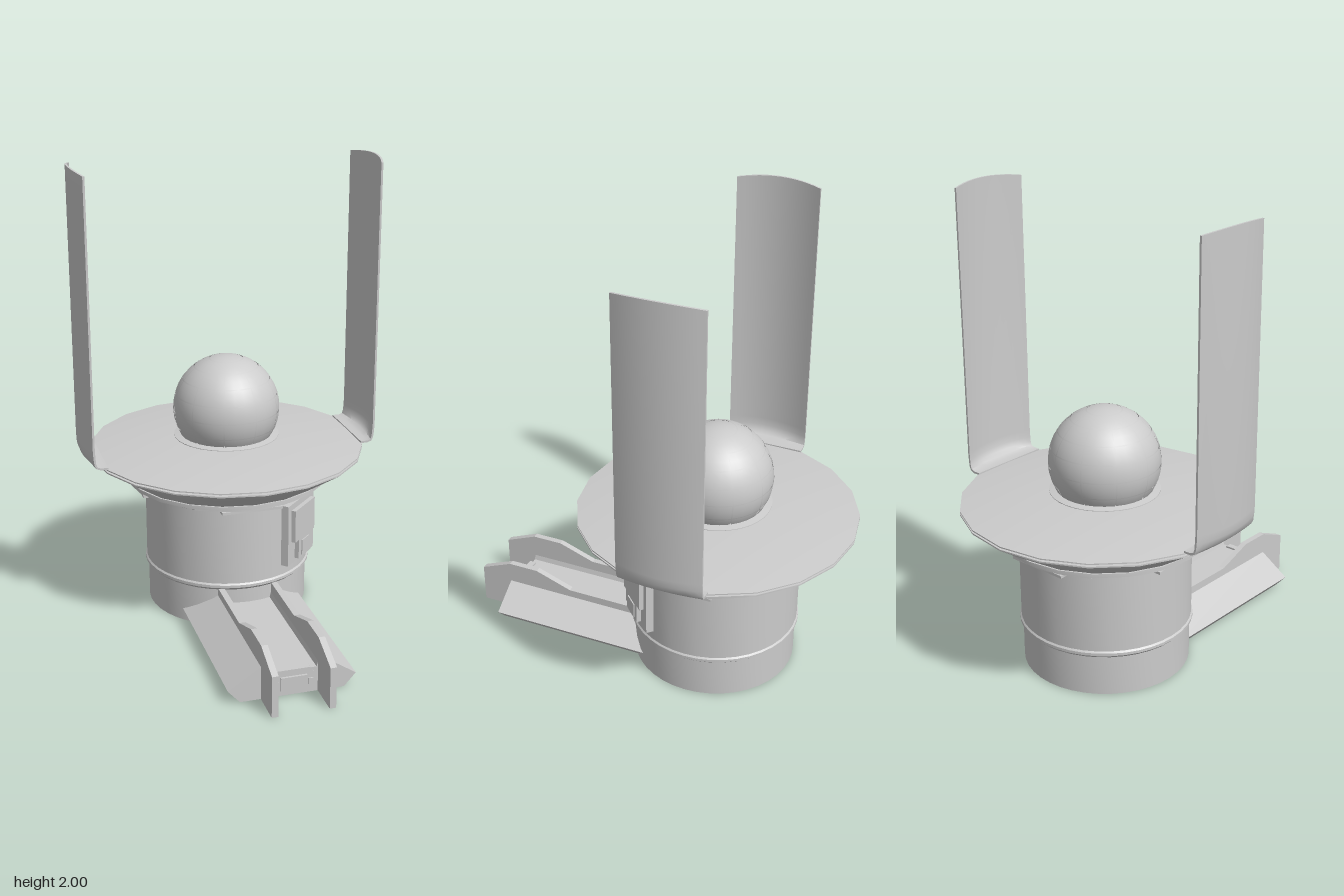
import * as THREE from 'three';
import { toCreasedNormals } from 'three/addons/utils/BufferGeometryUtils.js';

const MAT = new THREE.MeshStandardMaterial({ color: 0xcccccc, side: THREE.DoubleSide });
const AXIS_Z = -0.255; // the turret axis lies behind the centre

function add(parent, name, geometry, x = 0, y = 0, z = 0) {
  const mesh = new THREE.Mesh(geometry, MAT);
  mesh.name = name;
  mesh.position.set(x, y, z);
  parent.add(mesh);
  return mesh;
}

const box = (w, h, d) => new THREE.BoxGeometry(w, h, d);

// Revolved profile of [radius, y] points, with sharp edges kept
function lathe(points, segments, start = 0, length = Math.PI * 2) {
  const profile = points.map(([r, y]) => new THREE.Vector2(r, y));
  return toCreasedNormals(new THREE.LatheGeometry(profile, segments, start, length), 0.5);
}

function extrude(points, depth) {
  const shape = new THREE.Shape(points.map(([x, y]) => new THREE.Vector2(x, y)));
  return new THREE.ExtrudeGeometry(shape, { depth, bevelEnabled: false });
}

// Upright bowed blade: closed cross-sections swept along a bent profile
function bladeGeometry(side) {
  const profile = [[0.575, 0.732, 0], [0.61, 0.732, 0.1], [0.64, 0.739, 0.45], [0.66, 0.757, 0.8],
    [0.67, 0.785, 1], [0.672, 0.82, 1], [0.672, 1.99, 1]];
  const n = 12, ring = 2 * (n + 1), pos = [], idx = [];
  profile.forEach(([px, py, bow], row) => {
    const last = row === profile.length - 1;
    const a = profile[Math.max(row - 1, 0)], b = profile[Math.min(row + 1, profile.length - 1)];
    const len = Math.hypot(b[0] - a[0], b[1] - a[1]);
    const nx = -(b[1] - a[1]) / len, ny = (b[0] - a[0]) / len;
    for (let k = 0; k < ring; k++) {
      const inner = k > n;
      const t = ((inner ? ring - 1 - k : k) / n) * 2 - 1;
      const th = inner ? 0.009 : 0;
      const y = py + ny * th + (last ? 0.01 - 0.015 * t * t : 0);
      pos.push(side * (px + nx * th - 0.033 * bow * t * t), y, t * 0.185);
    }
  });
  const quad = (a, b, c, d) => (side > 0 ? idx.push(a, c, b, a, d, c) : idx.push(a, b, c, a, c, d));
  for (let r = 0; r < profile.length - 1; r++) {
    for (let k = 0; k < ring; k++) {
      const k2 = (k + 1) % ring;
      quad(r * ring + k, r * ring + k2, (r + 1) * ring + k2, (r + 1) * ring + k);
    }
  }
  const top = (profile.length - 1) * ring;
  for (let k = 0; k < n; k++) {
    quad(top + k, top + k + 1, top + ring - 2 - k, top + ring - 1 - k);
    quad(k + 1, k, ring - 1 - k, ring - 2 - k);
  }
  const g = new THREE.BufferGeometry();
  g.setAttribute('position', new THREE.Float32BufferAttribute(pos, 3));
  g.setIndex(idx);
  return toCreasedNormals(g, 0.6);
}

function buildTurret() {
  const turret = new THREE.Group();
  turret.name = 'turret';
  turret.position.z = AXIS_Z;

  // Drum, with a socket underneath
  add(turret, 'base', lathe([[0, 0.02], [0.04, 0.02], [0.06, 0.05], [0.1, 0.05], [0.13, 0],
    [0.36, 0], [0.36, 0.18], [0.3, 0.18]], 40));
  add(turret, 'drum', lathe([[0.3, 0.175], [0.36, 0.175], [0.374, 0.188], [0.374, 0.2], [0.368, 0.207],
    [0.368, 0.548], [0.373, 0.553], [0.373, 0.562], [0.362, 0.572], [0, 0.572]], 40));
  add(turret, 'neck', new THREE.CylinderGeometry(0.26, 0.26, 0.17, 32), 0, 0.65, 0);

  // Segmented bearing plates under the dish
  for (let i = 0; i < 4; i++) {
    const mid = i * Math.PI / 2;
    add(turret, 'bearingPlate', lathe([[0.3, 0.572], [0.425, 0.572], [0.425, 0.586], [0.3, 0.586],
      [0.3, 0.572]], 8, mid - 0.6, 1.2));
    const clip = add(turret, 'bearingClip', box(0.27, 0.012, 0.07),
      Math.sin(mid) * 0.38, 0.567, Math.cos(mid) * 0.38);
    clip.rotation.y = mid;
  }
  add(turret, 'dishRim', lathe([[0.38, 0.59], [0.455, 0.59], [0.455, 0.607], [0.38, 0.607]], 20));

  // Faceted dish and its shallow conical lid
  add(turret, 'dish', lathe([[0, 0.592], [0.38, 0.592], [0.44, 0.602], [0.61, 0.714], [0.61, 0.72],
    [0.25, 0.716]], 20));
  add(turret, 'dishLid', lathe([[0.25, 0.724], [0.61, 0.728], [0.61, 0.733], [0, 0.802]], 20));

  // Ball made of panels over a slightly smaller core
  add(turret, 'ballCollar', lathe([[0.235, 0.765], [0.235, 0.778], [0.2, 0.784]], 32));
  add(turret, 'ballCore', new THREE.SphereGeometry(0.231, 20, 14), 0, 0.903, 0);
  const rows = 7, columns = 10, gap = 0.012;
  for (let r = 0; r < rows; r++) {
    const t0 = r * 0.32, cap = r === 0;
    const count = cap ? 1 : columns;
    for (let c = 0; c < count; c++) {
      const w = Math.PI * 2 / count, g = cap ? 0 : gap;
      add(turret, 'ballPanel', new THREE.SphereGeometry(0.237, cap ? 20 : 2, 2,
        c * w + g, w - 2 * g, t0 + g, 0.32 - gap - g), 0, 0.903, 0);
    }
  }

  for (const side of [1, -1]) add(turret, side > 0 ? 'leftBlade' : 'rightBlade', bladeGeometry(side));

  // Hatch on the front left of the drum
  const hatch = new THREE.Group();
  hatch.name = 'hatch';
  hatch.rotation.y = Math.PI / 4;
  add(hatch, 'hatchFrame', box(0.25, 0.285, 0.06), 0, 0.395, 0.35);
  add(hatch, 'hatchCover', box(0.19, 0.15, 0.03), 0, 0.435, 0.385);
  add(hatch, 'hatchLatch', box(0.12, 0.1, 0.03), 0, 0.32, 0.385);
  add(hatch, 'hatchLug', box(0.07, 0.07, 0.02), 0, 0.315, 0.395);
  turret.add(hatch);
  return turret;
}

function buildRamp() {
  const ramp = new THREE.Group();
  ramp.name = 'ramp';

  // Bed with sloping wings either side of a shallow trough
  const half = [[0.22, 0], [0.27, 0.055], [0.133, 0.145], [0.11, 0.145], [0.1, 0.11]];
  const mirrored = half.map(([x, y]) => [-x, y]).reverse();
  add(ramp, 'bed', extrude([...half, ...mirrored], 0.82), 0, 0, -0.1);

  // Tall guide rails
  const railSide = [[0, 0], [0.865, 0], [0.865, 0.18], [0.72, 0.24], [0.58, 0.24], [0.41, 0.18], [0, 0.18]];
  const railGeometry = extrude(railSide, 0.027);
  railGeometry.rotateY(-Math.PI / 2);
  for (const x of [0.12, -0.12]) add(ramp, x > 0 ? 'leftRail' : 'rightRail', railGeometry, x + 0.0135);

  // Connector at the front end
  add(ramp, 'connectorPlate', extrude([[-0.09, 0.01], [0.09, 0.01], [0.09, 0.09], [0.07, 0.118],
    [-0.07, 0.118], [-0.09, 0.09]], 0.03), 0, 0, 0.7);
  add(ramp, 'connectorBlock', box(0.11, 0.06, 0.04), 0, 0.06, 0.72);
  for (const x of [0.073, -0.073]) add(ramp, 'connectorTab', box(0.02, 0.04, 0.03), x, 0.05, 0.72);
  return ramp;
}

export function createModel() {
  const model = new THREE.Group();
  model.name = 'model';
  model.add(buildTurret(), buildRamp());
  return model;
}
